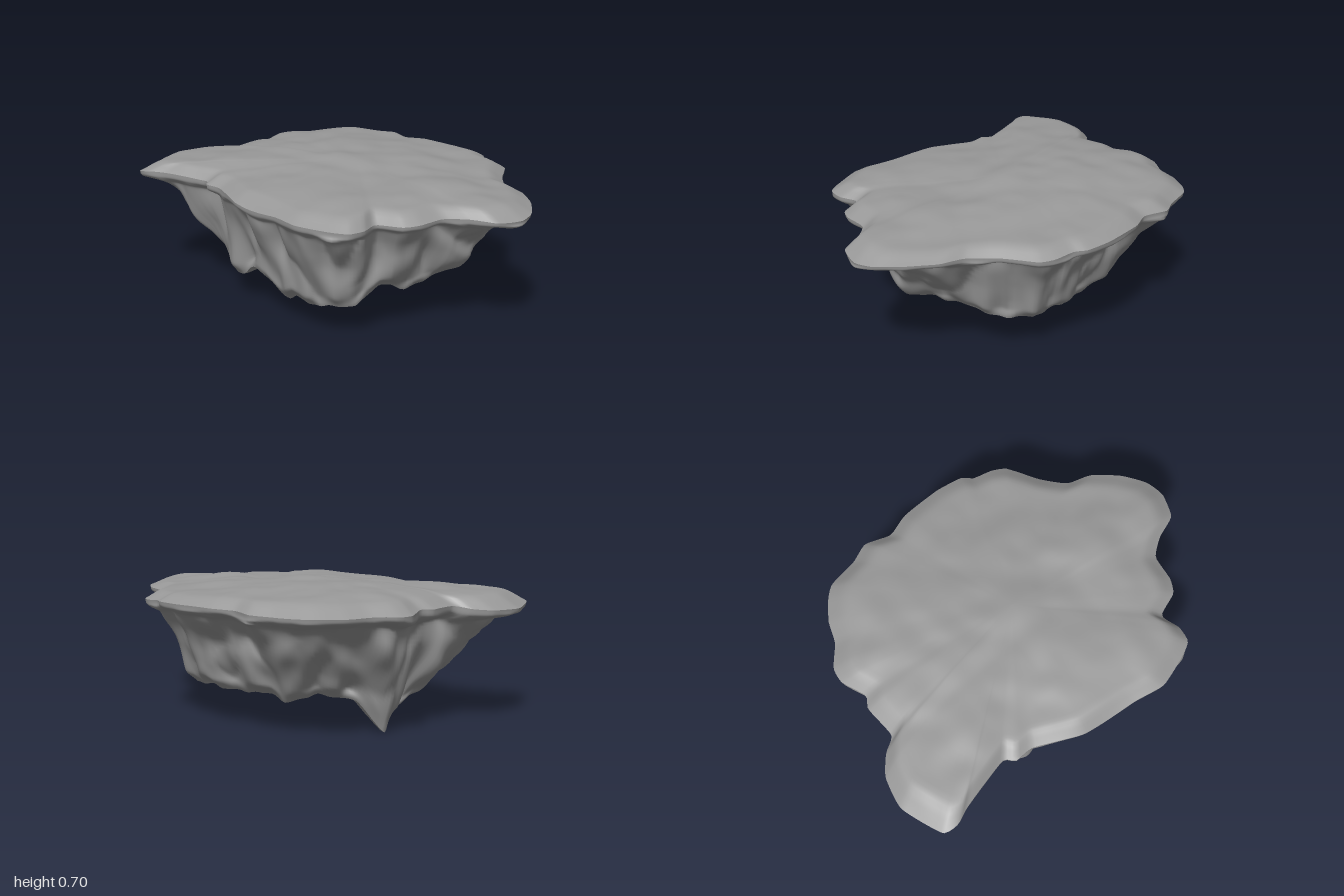
import * as THREE from 'three';

const COLS = 260;

// Plateau outline as [x, z]
const OUTLINE = [
  [1, -.02], [.98, -.12], [.9, -.23], [.78, -.33], [.66, -.37], [.56, -.48], [.47, -.63], [.4, -.67],
  [.3, -.69], [.25, -.73], [.11, -.75], [-.1, -.74], [-.22, -.7], [-.35, -.74], [-.45, -.7], [-.6, -.67],
  [-.66, -.62], [-.73, -.52], [-.77, -.41], [-.85, -.31], [-.86, -.23], [-.81, -.1], [-.84, -.04], [-.83, .13],
  [-.9, .18], [-.97, .27], [-1, .43], [-.92, .64], [-.84, .655], [-.76, .62], [-.5, .55], [-.45, .59],
  [-.35, .59], [-.12, .69], [.17, .72], [.33, .745], [.5, .69], [.57, .65], [.585, .57], [.56, .47],
  [.68, .42], [.72, .35], [.74, .22], [.83, .15], [.95, .1],
];

// Lower edge of the cliff as [x, y, z], with the deep spur on the -x side
const FOOT = [
  [.59, .25, 0], [.53, .26, -.2], [.44, .2, -.36], [.3, .17, -.45], [.2, .2, -.46], [.1, .17, -.47],
  [-.1, .19, -.46], [-.28, .17, -.43], [-.38, .19, -.32], [-.52, .15, -.2], [-.61, 0, -.1], [-.58, .05, -.03],
  [-.5, .02, .05], [-.57, .13, .16], [-.62, .22, .3], [-.45, .15, .45], [-.3, .15, .5], [-.19, .2, .52],
  [-.1, .18, .53], [.04, .1, .5], [.12, .14, .53], [.2, .13, .53], [.33, .16, .54], [.43, .15, .46],
  [.46, .23, .33], [.53, .2, .16],
];

// Seeded smooth value noise in the range -1..1
function hash(x, y, z) {
  const s = Math.sin(x * 127.1 + y * 311.7 + z * 74.7) * 43758.5453;
  return (s - Math.floor(s)) * 2 - 1;
}
function noise(x, y, z) {
  const [i, j, k] = [x, y, z].map(Math.floor);
  const [u, v, w] = [x - i, y - j, z - k].map((t) => t * t * (3 - 2 * t));
  const row = (b, c) => lerp(hash(i, b, c), hash(i + 1, b, c), u);
  return lerp(lerp(row(j, k), row(j + 1, k), v), lerp(row(j, k + 1), row(j + 1, k + 1), v), w);
}

const { lerp, smoothstep: smooth } = THREE.MathUtils;
const angleOf = (p) => Math.atan2(p.z, p.x);

function closedCurve(points) {
  return new THREE.CatmullRomCurve3(points, true, 'catmullrom', 0.25);
}

// Rim points, evenly spaced round the plateau
function makeRim() {
  const curve = closedCurve(OUTLINE.map(([x, z]) => new THREE.Vector3(x, 0, z)));
  const rim = curve.getSpacedPoints(COLS).slice(0, COLS);
  for (const p of rim) p.y = 0.6 + 0.012 * noise(p.x * 4, 3, p.z * 4) - 0.03 * smooth(-p.x, .8, 1);
  return rim;
}

// Foot points, each in the same direction from the centre as its rim point
function makeFoot(rim) {
  const dense = closedCurve(FOOT.map((p) => new THREE.Vector3(...p))).getPoints(900);
  return rim.map((r) => {
    const a = angleOf(r);
    let best = dense[0], bestGap = 9;
    for (const p of dense) {
      const d = angleOf(p) - a;
      const gap = Math.abs(Math.atan2(Math.sin(d), Math.cos(d)));
      if (gap < bestGap) { bestGap = gap; best = p; }
    }
    const p = best.clone();
    p.y = Math.max(0, p.y + 0.02 * noise(p.x * 14, 8, p.z * 14) * smooth(p.y, .02, .1));
    return p;
  });
}

// Closed ring grid: point(t, column) for t from 0 to 1
function ringMesh(name, rows, point, material) {
  const position = [], index = [];
  for (let i = 0; i <= rows; i++) {
    for (let j = 0; j < COLS; j++) {
      const p = point(i / rows, j);
      position.push(p.x, p.y, p.z);
      if (i === rows) continue;
      const k = (j + 1) % COLS;
      const a = i * COLS + j, b = a + COLS, c = (i + 1) * COLS + k, d = i * COLS + k;
      index.push(a, b, c, a, c, d);
    }
  }
  const geometry = new THREE.BufferGeometry();
  geometry.setAttribute('position', new THREE.Float32BufferAttribute(position, 3));
  geometry.setIndex(index);
  geometry.computeVertexNormals();
  const mesh = new THREE.Mesh(geometry, material);
  mesh.name = name;
  return mesh;
}

// Cliff profile: [inward share, downward share]
const PROFILE = [[0, 0], [.02, .06], [.12, .1], [.28, .15], [.45, .32], [.61, .53], [.75, .73], [.87, .89], [1, 1]];
const profileCurve = new THREE.CatmullRomCurve3(
  PROFILE.map(([x, y]) => new THREE.Vector3(x, y, 0)), false, 'catmullrom', 0.4);

export function createModel() {
  const group = new THREE.Group();
  group.name = 'floatingIsland';
  const rock = new THREE.MeshStandardMaterial({ color: 0x999999, side: THREE.DoubleSide });
  const rim = makeRim();
  const foot = makeFoot(rim);

  // Gently domed, weathered plateau with a rounded edge and a low step across it
  group.add(ringMesh('plateauTop', 40, (t, j) => {
    const r = rim[j], x = r.x * t, z = r.z * t;
    const edge = lerp(0.635, r.y, smooth(t, .88, 1.04) / smooth(1, .88, 1.04));
    const dome = 0.042 * (1 - t * t);
    const step = 0.014 * smooth(0.1 - 0.05 * x - z, -.06, .06) * (1 - smooth(x, -.2, .3));
    const bumps = 0.013 * noise(x * 4 + 9, 2, z * 4) + 0.007 * noise(x * 9, 6, z * 9);
    return new THREE.Vector3(x, edge + dome + (step + bumps) * (1 - t ** 6), z);
  }, rock));

  // Overhanging lip and ribbed cliff
  group.add(ringMesh('cliffWall', 40, (t, j) => {
    const r = rim[j], f = foot[j], s = profileCurve.getPoint(t);
    const p = new THREE.Vector3(lerp(r.x, f.x, s.x), lerp(r.y, f.y, s.y), lerp(r.z, f.z, s.x));
    const fade = smooth(t, .05, .35) * (1 - smooth(t, .85, 1));
    const ribs = 0.06 * (Math.abs(noise(p.x * 6, p.y * 2, p.z * 6)) - .4) + 0.03 * noise(p.x * 13, p.y * 5, p.z * 13);
    const scale = 1 + fade * ribs / Math.hypot(p.x, p.z);
    return p.set(p.x * scale, p.y, p.z * scale);
  }, rock));

  // Rough, uneven bottom with a low hanging ridge
  group.add(ringMesh('underside', 36, (t, j) => {
    const f = foot[j], x = f.x * (1 - t), z = f.z * (1 - t);
    const across = (x - z) / 0.2, along = (x + z - 0.3) / 0.45;
    const ridge = 0.06 * Math.exp(-across * across - along * along);
    const rough = 0.035 * noise(x * 6, 4, z * 6) + 0.02 * noise(x * 13, 7, z * 13);
    const y = lerp(f.y, 0.19 - ridge + rough, smooth(t, 0, .3));
    return new THREE.Vector3(x, y, z);
  }, rock));

  return group;
}
